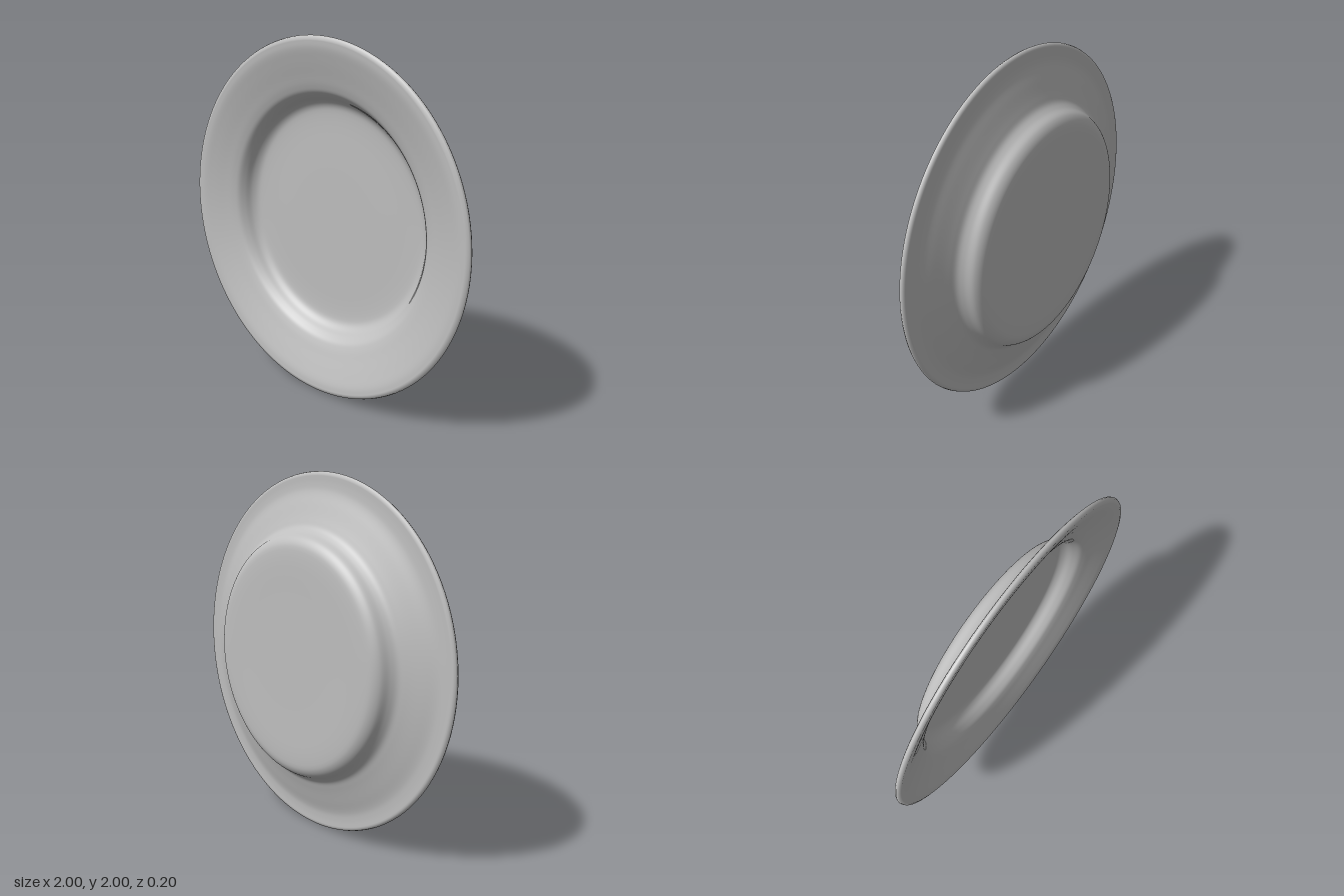
import * as THREE from 'three';

// Smooth profile through [radius, depth] points
function smooth(points, steps) {
  const curve = new THREE.CatmullRomCurve3(
    points.map(([r, z]) => new THREE.Vector3(r, z, 0)), false, 'centripetal');
  return curve.getPoints(steps).map((p) => new THREE.Vector2(Math.max(p.x, 0), p.y));
}

export function createModel() {
  const model = new THREE.Group();
  model.name = 'plate';
  const ceramic = new THREE.MeshStandardMaterial({ color: 0xbebebe });
  ceramic.name = 'grey ceramic';

  // Underside: flat base, rounded wall, sloping flange, out to the lip
  const back = smooth([
    [0, -0.1], [0.3, -0.1], [0.59, -0.1], [0.63, -0.091], [0.66, -0.07], [0.685, -0.03],
    [0.71, -0.004], [0.75, 0.013], [0.83, 0.04], [0.9, 0.062], [0.94, 0.066], [0.985, 0.066],
  ], 60);
  // Rounded lip
  const lip = [[0.996, 0.071], [1, 0.081], [0.995, 0.092]].map(([r, z]) => new THREE.Vector2(r, z));
  // Eating side: lip, broad flange, wall, flat well
  const front = smooth([
    [0.98, 0.097], [0.94, 0.093], [0.88, 0.076], [0.8, 0.05], [0.74, 0.03], [0.707, 0.014],
    [0.68, -0.015], [0.655, -0.052], [0.625, -0.074], [0.58, -0.082], [0.3, -0.083], [0, -0.083],
  ], 60);

  // Turned about the axis, then stood upright facing the front
  const geometry = new THREE.LatheGeometry([...back, ...lip, ...front], 128);
  geometry.rotateX(Math.PI / 2);
  const dish = new THREE.Mesh(geometry, ceramic);
  dish.name = 'dish';
  dish.position.y = 1;
  model.add(dish);
  return model;
}
